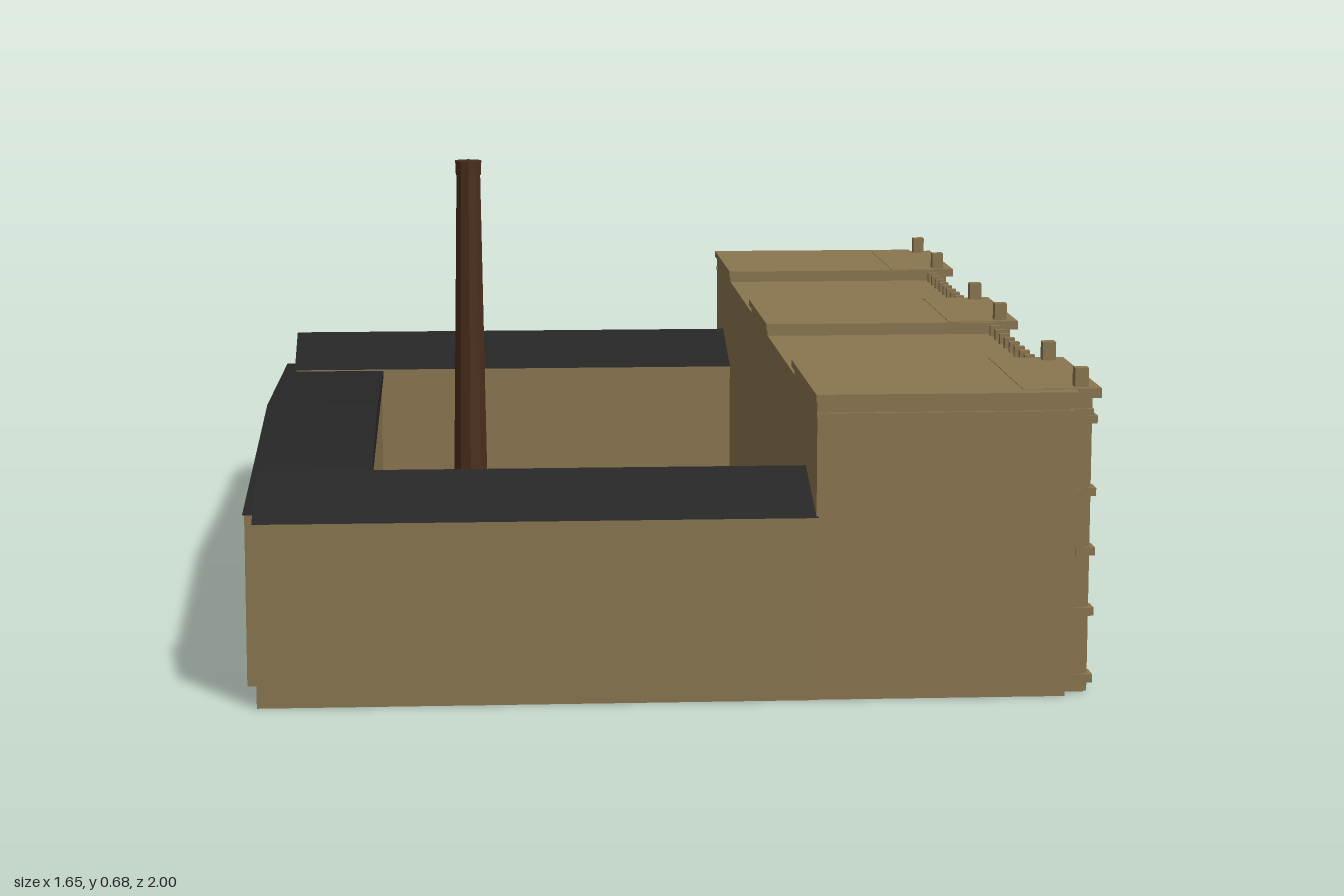
import * as THREE from 'three';
import { mergeGeometries } from 'three/addons/utils/BufferGeometryUtils.js';

const material = (name, color) => {
  const m = new THREE.MeshStandardMaterial({ color, flatShading: true });
  m.name = name;
  return m;
};

export function createModel() {
  const stone = material('stone', 0x8a7650);
  const slate = material('slate', 0x262626);
  const glass = material('glass', 0x2b303a);
  const brick = material('brick', 0x4a2d1a);

  // Local axes: x points out of the main facade, z runs along it
  const model = new THREE.Group();
  model.name = 'courtyardBuilding';
  const site = new THREE.Group();
  site.name = 'site';
  site.rotation.y = THREE.MathUtils.degToRad(16.2);
  model.add(site);

  const add = (name, geometry, mat) => {
    const mesh = new THREE.Mesh(geometry, mat);
    mesh.name = name;
    site.add(mesh);
    return mesh;
  };
  const box = (x0, x1, y0, y1, z0, z1) =>
    new THREE.BoxGeometry(x1 - x0, y1 - y0, z1 - z0)
      .translate((x0 + x1) / 2, (y0 + y1) / 2, (z0 + z1) / 2);
  const addBoxes = (name, mat, list) => add(name, mergeGeometries(list.map(b => box(...b))), mat);

  // Gabled roof; the ridge runs along x
  const gable = (x0, x1, y0, y1, z0, z1) => {
    const s = new THREE.Shape();
    s.moveTo(-z1, y0);
    s.lineTo(-z0, y0);
    s.lineTo(-(z0 + z1) / 2, y1);
    s.closePath();
    return new THREE.ExtrudeGeometry(s, { depth: x1 - x0, bevelEnabled: false })
      .rotateY(Math.PI / 2).translate(x0, 0, 0);
  };

  // Low wings around the yard
  for (const [name, z0, z1] of [['north', -0.862, -0.57], ['south', 0.57, 0.862]]) {
    addBoxes(name + 'Wing', stone, [[-0.607, 0.2, 0, 0.27, z0, z1]]);
    add(name + 'WingRoof', gable(-0.61, 0.203, 0.27, 0.32, z0 - 0.002, z1 + 0.002), slate);
  }
  addBoxes('westWing', stone, [[-0.628, -0.449, 0, 0.258, -0.732, 0.732]]);
  add('westWingRoof', gable(-0.631, -0.446, 0.258, 0.3, -0.734, 0.734), slate);

  // Yard shed
  addBoxes('shed', stone, [[-0.338, 0.067, 0, 0.185, 0.237, 0.552]]);
  add('shedRoof', gable(-0.341, 0.07, 0.185, 0.232, 0.235, 0.554), slate);

  // Tapered chimney with a collar
  const chimney = add('chimney', new THREE.CylinderGeometry(0.022, 0.033, 0.66, 10), brick);
  chimney.position.set(-0.287, 0.33, -0.386);
  const collar = add('chimneyCollar', new THREE.CylinderGeometry(0.0245, 0.0235, 0.025, 10), brick);
  collar.position.set(-0.287, 0.6625, -0.386);

  // Main block and projecting pavilions
  const wallX = 0.566, pavX = 0.598;
  const pavilions = [[-0.835, -0.56], [-0.148, 0.138], [0.55, 0.835]];
  const links = [[-0.56, -0.148], [0.138, 0.55]];
  addBoxes('mainBlock', stone, [[0.2, wallX, 0, 0.425, -0.86, 0.86]]);
  addBoxes('pavilions', stone, pavilions.map(([a, b]) => [wallX - 0.01, pavX, 0, 0.44, a, b]));

  // Pavilion attics and roof slabs; the end ones reach the side walls
  const attics = [], slabs = [], posts = [], quoins = [];
  pavilions.forEach(([a, b], i) => {
    const a2 = i === 0 ? -0.86 : a, b2 = i === 2 ? 0.86 : b;
    attics.push([0.2, wallX, 0.42, 0.44, a2, b2]);
    attics.push([0.5, pavX + 0.007, 0.412, 0.421, a - 0.004, b + 0.004]);
    slabs.push([0.197, 0.577, 0.44, 0.451, a2 - 0.012, b2 + 0.012]);
    slabs.push([0.5, 0.615, 0.438, 0.452, a - 0.008, b + 0.008]);
    for (const z of [a + 0.014, b - 0.014]) {
      posts.push([0.578, 0.598, 0.45, 0.48, z - 0.01, z + 0.01]);
      quoins.push([pavX - 0.01, pavX + 0.006, 0, 0.44, z - 0.009, z + 0.009]);
      for (const y of [0.02, 0.12, 0.21, 0.298, 0.405])
        quoins.push([pavX - 0.015, pavX + 0.013, y - 0.006, y + 0.006, z - 0.016, z + 0.016]);
    }
  });
  // Side cornice on the end walls
  for (const s of [-1, 1])
    attics.push([0.199, 0.572, 0.416, 0.423, Math.min(s * 0.855, s * 0.866), Math.max(s * 0.855, s * 0.866)]);
  addBoxes('pavilionAttics', stone, attics);
  addBoxes('pavilionRoofSlabs', stone, slabs);
  addBoxes('cornerPosts', stone, posts);
  addBoxes('cornerPilasters', stone, quoins);

  // Windows: three narrow panes in two tiers, under a lintel and over a sill
  const panes = [], trim = [], dividers = [];
  const rows = [0.05, 0.132, 0.225, 0.318];
  const addWindow = (x, z) => {
    for (const y of rows) {
      for (const k of [-1, 0, 1]) {
        const c = z + k * 0.0145;
        panes.push([x - 0.003, x + 0.003, y, y + 0.034, c - 0.005, c + 0.005]);
        panes.push([x - 0.003, x + 0.003, y + 0.038, y + 0.057, c - 0.005, c + 0.005]);
      }
      trim.push([x - 0.003, x + 0.006, y - 0.006, y - 0.001, z - 0.024, z + 0.024]);
    }
  };
  for (const [a, b] of pavilions)
    for (const t of [0.19, 0.5, 0.81]) addWindow(pavX, a + (b - a) * t);

  // Links: four window bays between pilasters, string courses and a balustrade
  for (const [a, b] of links) {
    const bay = (b - a) / 4;
    for (let i = 0; i < 4; i++) addWindow(wallX, a + bay * (i + 0.5));
    for (let i = 0; i <= 4; i++) {
      const z = a + bay * i;
      dividers.push([wallX - 0.005, wallX + 0.014, 0, 0.41, z - 0.008, z + 0.008]);
    }
    for (const y of [0.025, 0.118, 0.21, 0.3])
      dividers.push([wallX - 0.005, wallX + 0.016, y - 0.005, y + 0.005, a, b]);
    dividers.push([wallX - 0.03, wallX + 0.02, 0.398, 0.41, a, b]);
    dividers.push([0.2, wallX + 0.008, 0.42, 0.43, a, b]);
    for (let i = 0; i < 24; i++) {
      const z = a + (b - a) * (i + 0.5) / 24;
      dividers.push([wallX, wallX + 0.014, 0.405, 0.422, z - 0.004, z + 0.004]);
    }
    for (let i = 0; i < 9; i++) {
      const z = a + (b - a) * (i + 0.5) / 9;
      dividers.push([wallX, wallX + 0.016, 0.41, 0.447, z - 0.006, z + 0.006]);
    }
  }
  addBoxes('windowPanes', glass, panes);
  addBoxes('windowSills', stone, trim);
  addBoxes('linkPilastersAndBalustrade', stone, dividers);

  return model;
}
